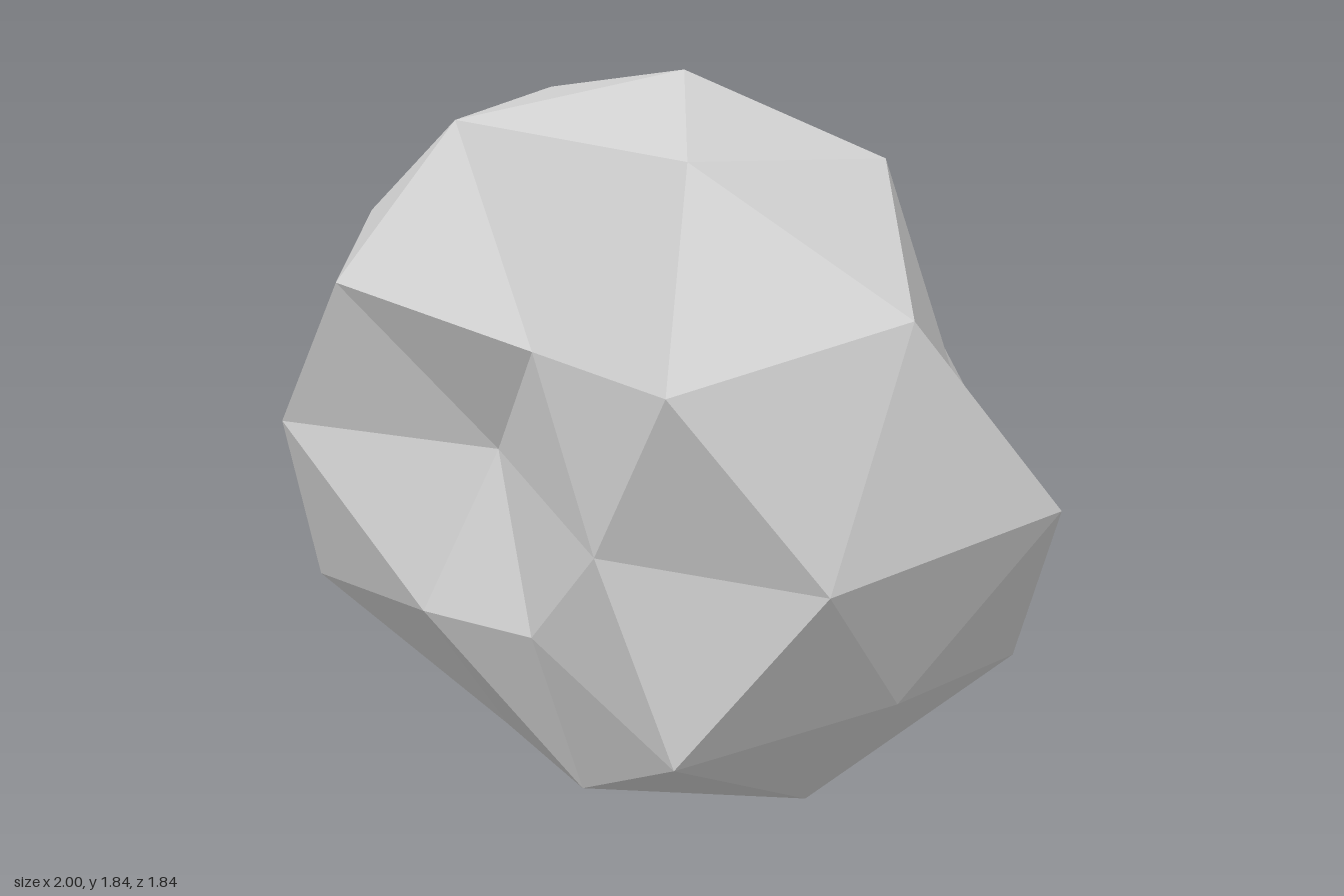
import * as THREE from 'three';

// Horizontal rings of the boulder, each running from +x round through +z (x, y, z)
const top = [0.02, 1.84, -0.09];
const crown = [[0.515, 1.66, -0.08], [0.205, 1.735, 0.465], [-0.43, 1.75, 0.235], [-0.44, 1.73, -0.395], [0.19, 1.65, -0.515]];
const upper = [
  [0.695, 1.15, -0.09], [0.695, 1.42, 0.425], [0.305, 1.36, 0.915], [-0.15, 1.29, 0.485], [-0.7, 1.37, 0.35],
  [-0.825, 1.44, -0.1], [-0.59, 1.24, -0.49], [-0.257, 1.385, -0.81], [0.24, 1.12, -0.65], [0.545, 1.24, -0.41],
];
const middle = [
  [1.0, 0.93, 0.16], [0.613, 0.92, 0.775], [0.09, 0.93, 0.75], [-0.34, 0.96, 0.25], [-0.955, 0.95, 0.2],
  [-0.79, 0.88, -0.335], [-0.42, 0.85, -0.65], [-0.04, 0.79, -0.855], [0.39, 0.78, -0.622], [0.81, 0.89, -0.24],
];
const lower = [
  [0.88, 0.44, -0.09], [0.69, 0.51, 0.4], [0.27, 0.45, 0.75], [-0.15, 0.61, 0.53], [-0.54, 0.52, 0.29],
  [-1.0, 0.43, -0.03], [-0.675, 0.436, -0.59], [-0.305, 0.4, -0.92], [0.18, 0.43, -0.765], [0.62, 0.54, -0.485],
];
const base = [[0.44, 0.13, 0.23], [-0.09, 0.14, 0.37], [-0.47, 0.04, -0.06], [-0.12, 0.02, -0.645], [0.45, 0.16, -0.41]];
const bottom = [0.07, 0, -0.09];

// Ring lookup that wraps round
const at = (ring, i) => ring[(i + ring.length) % ring.length];

function boulderGeometry() {
  const positions = [];
  const tri = (a, b, c) => positions.push(...a, ...b, ...c);

  // Cap and foot: five wedges each
  for (let k = 0; k < 5; k++) {
    const c = at(crown, k), c2 = at(crown, k + 1);
    tri(top, c2, c);
    tri(c, c2, at(upper, 2 * k + 1));
    const b = at(base, k);
    tri(b, at(base, k + 1), bottom);
    tri(at(lower, 2 * k), b, at(base, k - 1));
    for (const s of [0, 1]) {
      tri(c, at(upper, 2 * k + s), at(upper, 2 * k + s - 1));
      tri(at(lower, 2 * k + s), at(lower, 2 * k + s + 1), b);
    }
  }

  // Two zigzag bands around the middle
  for (let j = 0; j < 10; j++) {
    const m = at(middle, j), prev = at(middle, j - 1);
    tri(at(upper, j), at(upper, j + 1), m);
    tri(at(upper, j), m, prev);
    tri(m, at(lower, j + 1), at(lower, j));
    tri(prev, m, at(lower, j));
  }

  // Unshared corners give flat facets
  const geometry = new THREE.BufferGeometry();
  geometry.setAttribute('position', new THREE.Float32BufferAttribute(positions, 3));
  geometry.computeVertexNormals();
  return geometry;
}

export function createModel() {
  const stone = new THREE.MeshStandardMaterial({ color: 0xd2d2d2 });
  stone.name = 'pale grey stone';

  const boulder = new THREE.Mesh(boulderGeometry(), stone);
  boulder.name = 'boulder';

  const group = new THREE.Group();
  group.name = 'rock';
  group.add(boulder);
  return group;
}
